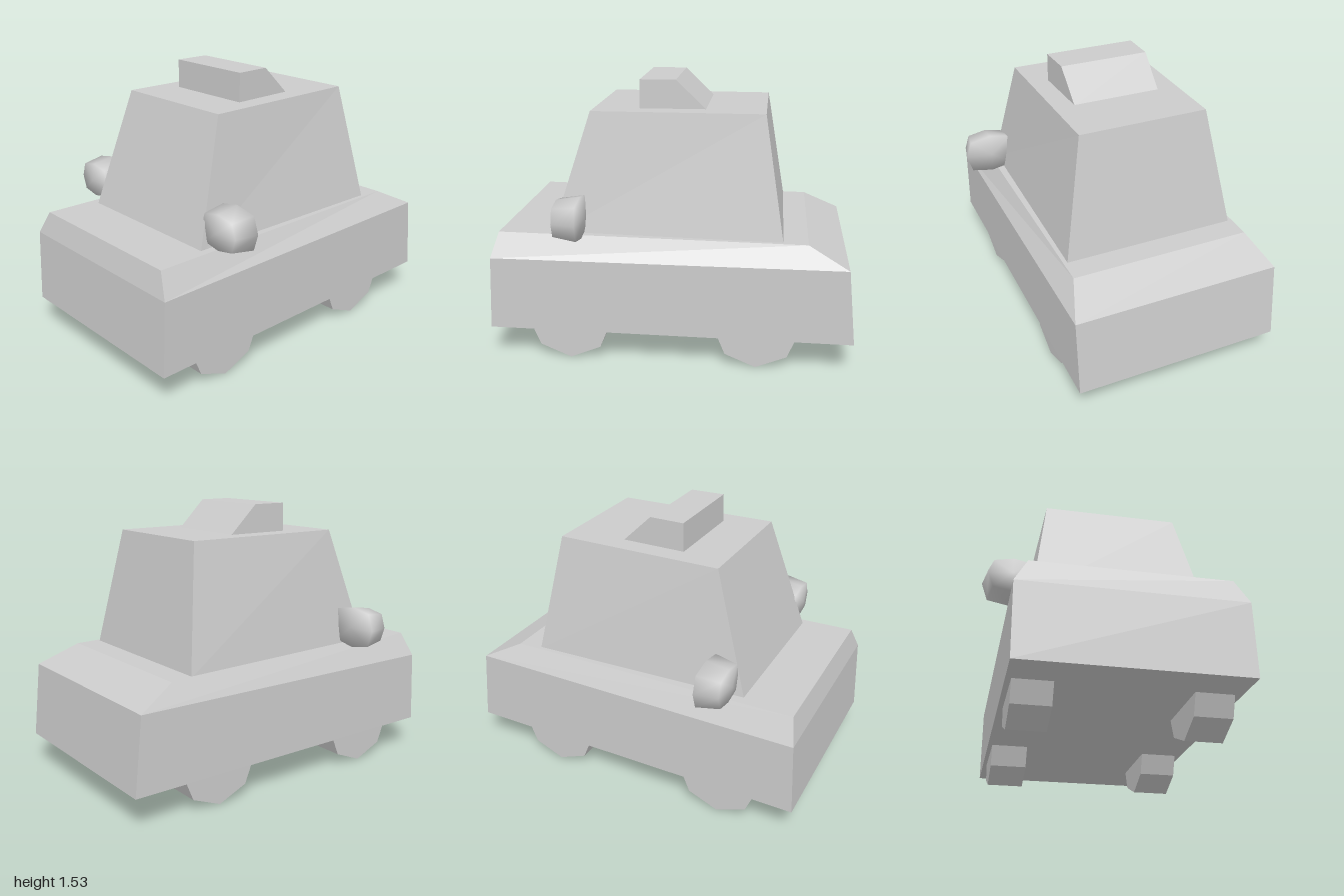
import * as THREE from 'three';
import { mergeVertices } from 'three/addons/utils/BufferGeometryUtils.js';

const flat = new THREE.MeshStandardMaterial({ color: 0xcccccc, flatShading: true });
const smooth = new THREE.MeshStandardMaterial({ color: 0xcccccc });

// Closed loft through four-cornered rings, bottom to top.
// Each ring is a front edge and a back edge: [xRight, xLeft, y, z]
function loft(rings) {
  const pos = [], index = [];
  for (const [f, b] of rings) {
    pos.push(f[0], f[2], f[3], f[1], f[2], f[3], b[1], b[2], b[3], b[0], b[2], b[3]);
  }
  for (let r = 0; r < rings.length - 1; r++) {
    for (let i = 0; i < 4; i++) {
      const a = r * 4 + i, b = r * 4 + (i + 1) % 4;
      index.push(a, b, b + 4, a, b + 4, a + 4);
    }
  }
  const t = (rings.length - 1) * 4;
  index.push(0, 2, 1, 0, 3, 2, t, t + 1, t + 2, t, t + 2, t + 3);
  const g = new THREE.BufferGeometry();
  g.setAttribute('position', new THREE.Float32BufferAttribute(pos, 3));
  g.setIndex(index);
  const out = g.toNonIndexed();
  out.computeVertexNormals();
  return out;
}

// Eight-sided pod, wide and flat at the back, domed at the front
function mirrorGeometry() {
  const profile = [[0, -0.085], [1, -0.065], [0.83, 0.065], [0, 0.085]];
  let g = new THREE.LatheGeometry(profile.map(([r, y]) => new THREE.Vector2(r, y)), 8);
  g.rotateX(Math.PI / 2);
  const p = g.attributes.position;
  for (let i = 0; i < p.count; i++) {
    const x = p.getX(i), y = p.getY(i);
    // push the diagonal corners outwards to square the outline
    const k = Math.abs(x * y) > 0.01 ? 1.13 : 1;
    p.setXY(i, x * k * 0.153, y * k * 0.117);
  }
  g.deleteAttribute('uv');
  g.deleteAttribute('normal');
  g = mergeVertices(g, 1e-4);
  g.computeVertexNormals();
  return g;
}

export function createModel() {
  const car = new THREE.Group();
  car.name = 'taxi';
  const add = (name, geometry, material = flat) => {
    const mesh = new THREE.Mesh(geometry, material);
    mesh.name = name;
    car.add(mesh);
    return mesh;
  };

  // Lower body with bevelled shoulders and a sloping tail
  add('body', loft([
    [[-0.58, 0.59, 0.18, 1.0], [-0.572, 0.582, 0.18, -1.0]],
    [[-0.58, 0.59, 0.59, 0.98], [-0.572, 0.582, 0.6, -0.957]],
    [[-0.51, 0.52, 0.722, 0.945], [-0.508, 0.502, 0.708, -0.74]],
  ]));

  // Tapered cabin, sunk slightly into the body
  add('cabin', loft([
    [[-0.458, 0.477, 0.7, 0.66], [-0.487, 0.483, 0.7, -0.608]],
    [[-0.365, 0.377, 1.375, 0.447], [-0.36, 0.36, 1.375, -0.495]],
  ]));

  // Wedge-shaped roof sign
  add('roofSign', loft([
    [[-0.25, 0.263, 1.37, 0.197], [-0.245, 0.25, 1.37, -0.172]],
    [[-0.25, 0.263, 1.533, 0.193], [-0.247, 0.256, 1.533, -0.003]],
  ]));

  // Octagonal wheels, point down
  const wheel = new THREE.CylinderGeometry(0.24, 0.24, 0.203, 8);
  wheel.rotateZ(Math.PI / 2);
  const mirror = mirrorGeometry();
  for (const [side, s] of [['left', 1], ['right', -1]]) {
    for (const [end, z] of [['Front', 0.56], ['Back', -0.477]]) {
      add(`${side}${end}Wheel`, wheel).position.set(s * 0.449, 0.24, z);
    }
    add(`${side}Mirror`, mirror, smooth).position.set(s * 0.55, 0.828, 0.541);
  }
  return car;
}
